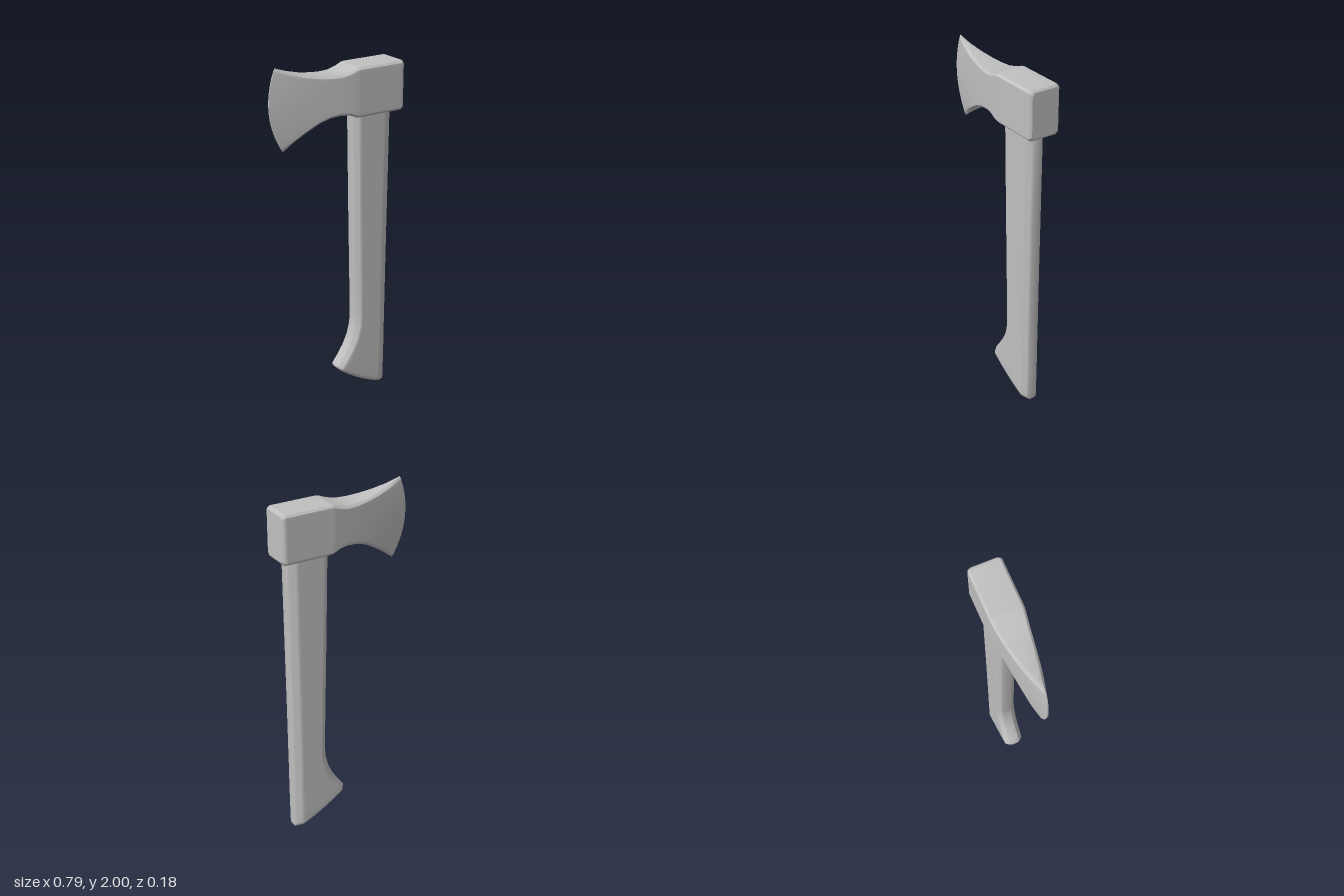
import * as THREE from 'three';

const CORNER = 4, SIDE = 12;

// Half outline (z > 0) of a soft-cornered section running from point b to point a
function halfRing([ax, ay, bx, by, h, bulge = 0], { ca, cb, cz, round }) {
  const len = Math.hypot(bx - ax, by - ay);
  const dx = (bx - ax) / len, dy = (by - ay) / len;
  const z = Math.min(cz, h * 0.6);
  const corner = (c) => Array.from({ length: CORNER + 1 }, (_, k) => {
    const t = k / CORNER; // 0 on the end face, 1 on the side face
    const u = THREE.MathUtils.lerp(1 - t, (1 - t) * (1 - t), round);
    const v = THREE.MathUtils.lerp(t, 1 - (1 - t) * (1 - t), round);
    return [c * (1 - u), h - z * (1 - v)];
  });
  const pts = corner(cb).map(([s, w]) => [len - s, w]);
  for (let i = 1; i < SIDE; i++) pts.push([THREE.MathUtils.lerp(len - cb, ca, i / SIDE), h]);
  pts.push(...corner(ca).reverse());
  return pts.map(([s, w]) => {
    const v = s / len, out = bulge * 4 * v * (1 - v);
    return new THREE.Vector3(ax + dx * s + dy * out, ay + dy * s - dx * out, w);
  });
}

// Skin a row of sections and close both ends
function loft(sections, style) {
  const rings = sections.map((s) => {
    const half = halfRing(s, style);
    return [...half, ...half.map((p) => new THREE.Vector3(p.x, p.y, -p.z)).reverse()];
  });
  const n = rings[0].length, last = rings.length - 1, index = [];
  const points = [...rings.flat(), ...rings[0], ...rings[last]];
  for (let i = 0; i < last; i++) {
    for (let j = 0; j < n; j++) {
      const a = i * n + j, b = i * n + (j + 1) % n;
      index.push(a, b, b + n, a, b + n, a + n);
    }
  }
  const start = rings.length * n, end = start + n;
  for (let j = 0; j < n / 2 - 1; j++) {
    const q = [j, j + 1, n - 2 - j, n - 1 - j];
    for (const [a, b, c] of [[0, 1, 2], [0, 2, 3]]) {
      index.push(start + q[c], start + q[b], start + q[a], end + q[a], end + q[b], end + q[c]);
    }
  }
  const geometry = new THREE.BufferGeometry().setFromPoints(points);
  geometry.setIndex(index);
  geometry.computeVertexNormals();
  return geometry;
}

export function createModel() {
  const group = new THREE.Group();
  group.name = 'axe';
  const grey = new THREE.MeshStandardMaterial({ color: 0xc0c0c0 });
  grey.name = 'plain grey';

  // Head, cutting edge to poll: bottom x, y, top x, y, half thickness, bulge
  const head = new THREE.Mesh(loft([
    [-0.32, 1.55, -0.36, 2.0, 0.003, -0.058],
    [-0.26, 1.595, -0.28, 1.973, 0.027, -0.035],
    [-0.19, 1.642, -0.2, 1.951, 0.045, -0.018],
    [-0.12, 1.682, -0.12, 1.937, 0.06, -0.008],
    [-0.06, 1.702, -0.06, 1.931, 0.07],
    [0.0, 1.709, 0.0, 1.931, 0.079],
    [0.05, 1.704, 0.05, 1.941, 0.086],
    [0.09, 1.689, 0.09, 1.956, 0.091],
    [0.11, 1.685, 0.11, 1.96, 0.092],
    [0.37, 1.685, 0.37, 1.96, 0.092],
    [0.378, 1.685, 0.378, 1.96, 0.092],
    [0.388, 1.689, 0.388, 1.956, 0.088],
    [0.394, 1.699, 0.394, 1.946, 0.078],
  ], { ca: 0.015, cb: 0.015, cz: 0.015, round: 1 }), grey);
  head.name = 'axeHead';

  // Handle, top to flared foot: front edge x, y, back edge x, y, half thickness, bulge
  const handle = new THREE.Mesh(loft([
    [0.1, 1.72, 0.346, 1.72, 0.055],
    [0.11, 1.2, 0.341, 1.2, 0.055],
    [0.119, 0.8, 0.337, 0.8, 0.055],
    [0.126, 0.5, 0.335, 0.48, 0.055],
    [0.122, 0.43, 0.334, 0.38, 0.055],
    [0.105, 0.36, 0.334, 0.28, 0.055],
    [0.075, 0.295, 0.333, 0.18, 0.055, 0.005],
    [0.035, 0.235, 0.332, 0.09, 0.055, 0.01],
    [0.008, 0.2, 0.331, 0.03, 0.055, 0.014],
    [0.003, 0.19, 0.331, 0.018, 0.052, 0.015],
    [0.005, 0.182, 0.328, 0.008, 0.045, 0.016],
    [0.014, 0.172, 0.319, 0.005, 0.034, 0.016],
  ], { ca: 0.03, cb: 0.045, cz: 0.03, round: 0.4 }), grey);
  handle.name = 'handle';

  group.add(head, handle);
  return group;
}
